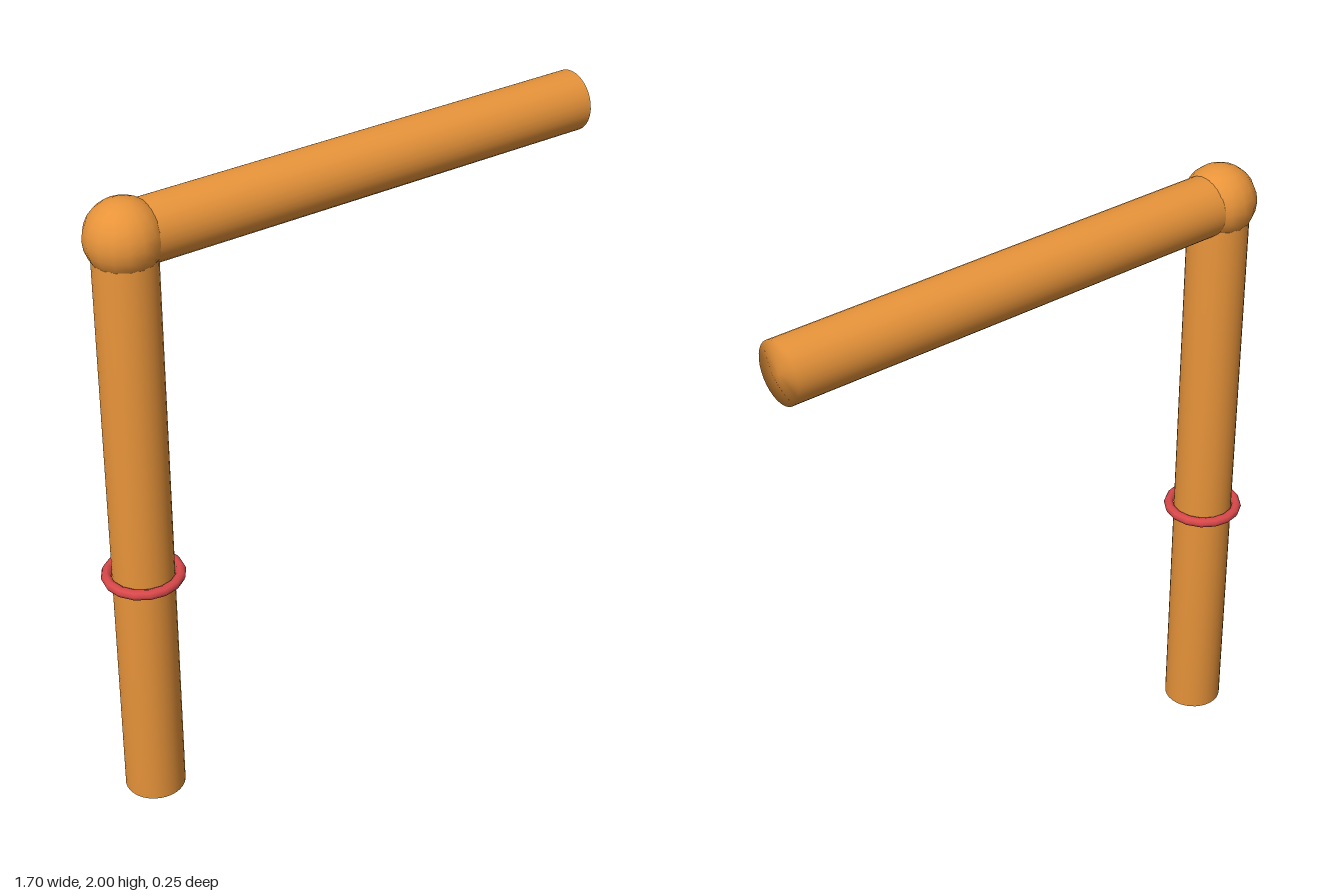
import * as THREE from 'three';
import { mergeVertices } from 'three/addons/utils/BufferGeometryUtils.js';

const POST_X = -0.722, JOINT_Y = 1.887, PIPE_R = 0.093;

// Capped pipe whose normals blend over the rim
function pipeGeometry(length) {
  const g = new THREE.CylinderGeometry(PIPE_R, PIPE_R, length, 32);
  g.deleteAttribute('normal');
  g.deleteAttribute('uv');
  const merged = mergeVertices(g, 1e-4);
  merged.computeVertexNormals();
  return merged;
}

export function createModel() {
  const model = new THREE.Group();
  const orange = new THREE.MeshStandardMaterial({ color: 0xe8943a });
  const red = new THREE.MeshStandardMaterial({ color: 0xd9484a });

  function add(name, geometry, material, x, y) {
    const mesh = new THREE.Mesh(geometry, material);
    mesh.name = name;
    mesh.position.set(x, y, 0);
    model.add(mesh);
    return mesh;
  }

  // Upright post standing on the ground
  add('post', pipeGeometry(JOINT_Y), orange, POST_X, JOINT_Y / 2);

  // Horizontal arm from the joint to the free end
  const armEnd = 0.848;
  const arm = add('arm', pipeGeometry(armEnd - POST_X), orange, (POST_X + armEnd) / 2, JOINT_Y - 0.001);
  arm.rotation.z = -Math.PI / 2;

  // Ball at the corner
  add('cornerJoint', new THREE.SphereGeometry(0.113, 16, 12), orange, POST_X, JOINT_Y);

  // Thin ring around the post
  const ring = add('ring', new THREE.TorusGeometry(0.11, 0.016, 8, 16), red, POST_X, 0.788);
  ring.rotation.x = Math.PI / 2;

  return model;
}
